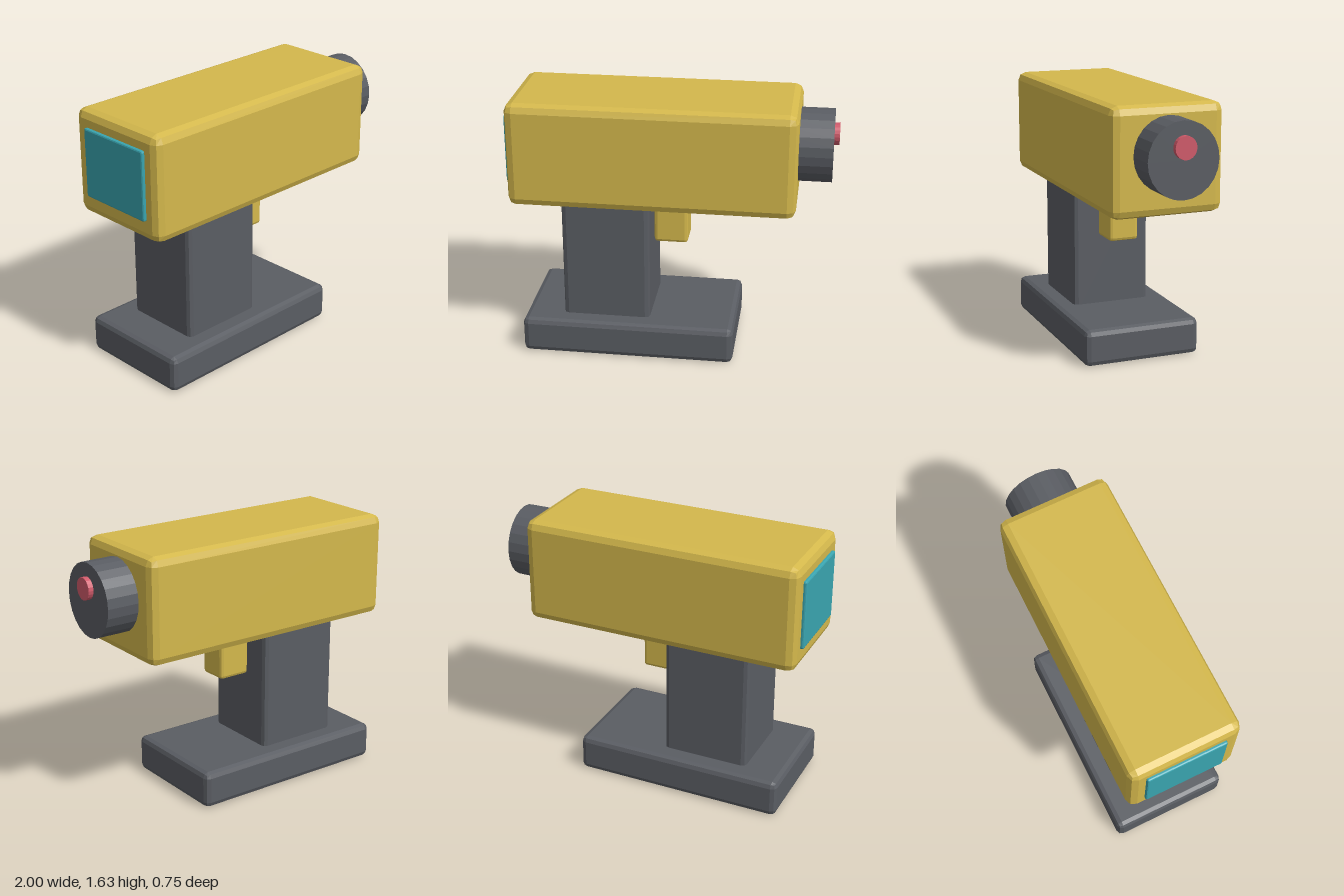
import * as THREE from 'three';
import { RoundedBoxGeometry } from 'three/addons/geometries/RoundedBoxGeometry.js';

const paint = (color) => new THREE.MeshStandardMaterial({ color, flatShading: true });

export function createModel() {
  const model = new THREE.Group();
  model.name = 'handheldScanner';
  const yellow = paint(0xd4b84c);
  const grey = paint(0x5a5d63);
  const red = paint(0xd05a6a);
  const teal = paint(0x3aa5b0);

  const add = (name, geometry, material, x, y) => {
    const mesh = new THREE.Mesh(geometry, material);
    mesh.name = name;
    mesh.position.set(x, y, 0);
    model.add(mesh);
    return mesh;
  };

  // Bevelled block given by its x range, y range and depth
  const block = (name, material, [x0, x1], [y0, y1], depth, bevel) =>
    add(name, new RoundedBoxGeometry(x1 - x0, y1 - y0, depth, 1, bevel),
      material, (x0 + x1) / 2, (y0 + y1) / 2);

  // Disc along x, slightly narrower in depth than in height
  const disc = (name, material, [x0, x1], y, radius, sides) => {
    const geometry = new THREE.CylinderGeometry(radius, radius, x1 - x0, sides);
    geometry.rotateZ(-Math.PI / 2).scale(1, 1, 0.965);
    return add(name, geometry, material, (x0 + x1) / 2, y);
  };

  // Foot, grip and main housing
  block('base', grey, [-0.915, 0.41], [0, 0.23], 0.746, 0.035);
  block('handle', grey, [-0.67, -0.125], [0.17, 1.04], 0.506, 0.03);
  block('body', yellow, [-0.98, 0.765], [0.985, 1.635], 0.696, 0.052);
  block('trigger', yellow, [-0.115, 0.095], [0.685, 1.05], 0.19, 0.02);

  // Rear display
  block('screen', teal, [-1, -0.95], [1.11, 1.535], 0.5, 0.01);

  // Nose barrel with its emitter
  disc('barrel', grey, [0.72, 0.968], 1.35, 0.225, 24);
  disc('emitter', red, [0.94, 1], 1.425, 0.068, 20);

  return model;
}
